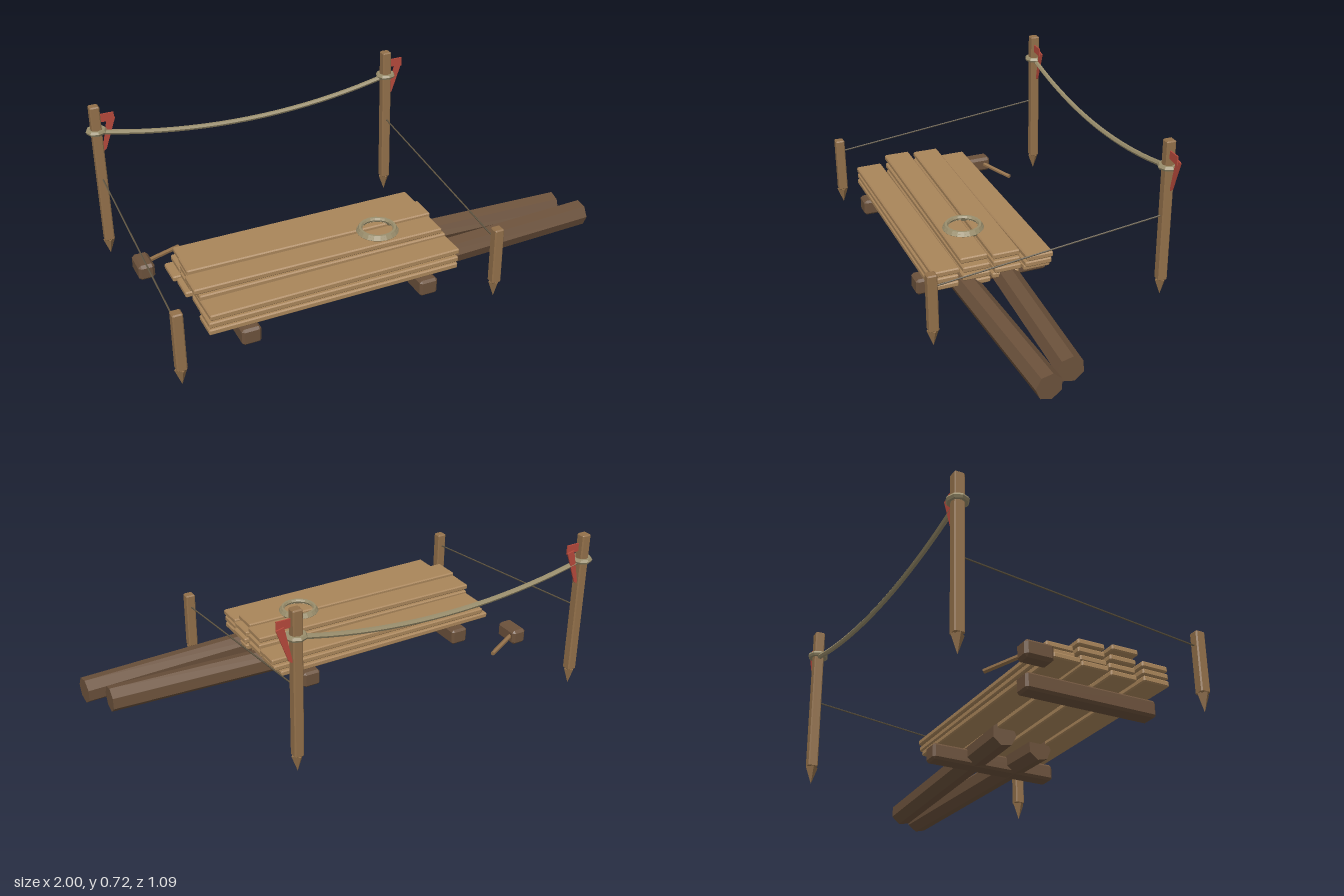
import * as THREE from 'three';
import { ConvexGeometry } from 'three/addons/geometries/ConvexGeometry.js';

const mat = (color, extra = {}) => {
  const m = new THREE.MeshStandardMaterial({ color, flatShading: true, ...extra });
  return m;
};

const plankMat = mat(0xa9855a);
const postMat = mat(0x92704a);
const logMat = mat(0x6b513b);
const ropeMat = mat(0x9a8e6c);
const cordMat = mat(0x5f5542);
const flagMat = mat(0xb5493b, { side: THREE.DoubleSide });

// Box with chamfered edges: three points near each corner
function chamferBox(w, h, d, c) {
  const pts = [];
  for (const x of [-1, 1]) for (const y of [-1, 1]) for (const z of [-1, 1]) {
    const X = x * w / 2, Y = y * h / 2, Z = z * d / 2;
    pts.push(
      new THREE.Vector3(X, Y - y * c, Z - z * c),
      new THREE.Vector3(X - x * c, Y, Z - z * c),
      new THREE.Vector3(X - x * c, Y - y * c, Z));
  }
  return new ConvexGeometry(pts);
}

function add(parent, name, geometry, material, x = 0, y = 0, z = 0) {
  const mesh = new THREE.Mesh(geometry, material);
  mesh.name = name;
  mesh.position.set(x, y, z);
  parent.add(mesh);
  return mesh;
}

// Straight round bar between two points
function bar(parent, name, a, b, radius, sides, material) {
  const dir = b.clone().sub(a);
  const mesh = add(parent, name, new THREE.CylinderGeometry(radius, radius, dir.length(), sides), material);
  mesh.position.copy(a).add(b).multiplyScalar(0.5);
  mesh.quaternion.setFromUnitVectors(new THREE.Vector3(0, 1, 0), dir.normalize());
  return mesh;
}

function ring(parent, name, radius, tube, sides, x, y, z) {
  const geometry = new THREE.TorusGeometry(radius, tube, 6, sides).rotateX(Math.PI / 2);
  return add(parent, name, geometry, ropeMat, x, y, z);
}

// Square stake with a pointed, four-sided foot
function stake(parent, name, x, z, top) {
  const group = new THREE.Group();
  group.name = name;
  group.position.set(x, 0, z);
  add(group, 'stakeShaft', chamferBox(0.042, top - 0.078, 0.042, 0.005), postMat, 0, (top + 0.078) / 2);
  add(group, 'stakePoint', new THREE.ConeGeometry(0.027, 0.075, 4).rotateX(Math.PI), postMat, 0, 0.042);
  parent.add(group);
  return group;
}

function flagPiece(parent, name, corners, z) {
  const shape = new THREE.Shape(corners.map(([x, y]) => new THREE.Vector2(x, y)));
  const geometry = new THREE.ExtrudeGeometry(shape, { depth: 0.006, bevelEnabled: false });
  return add(parent, name, geometry, flagMat, 0, 0, z);
}

export function createModel() {
  const model = new THREE.Group();
  model.name = 'buildingSite';
  const leftX = 0.408, rightX = -0.955, backZ = -0.501, frontZ = 0.519;

  // Stakes, rope loops, marker ribbons and guide cords
  for (const x of [rightX, leftX]) {
    const tall = stake(model, 'tallStake', x, backZ, 0.725);
    ring(tall, 'ropeLoop', 0.034, 0.0115, 8, 0, 0.61, 0);
    flagPiece(tall, 'ribbonTop', [[0.015, 0.65], [0.08, 0.645], [0.08, 0.685], [0.015, 0.685]], 0.002);
    flagPiece(tall, 'ribbonTail', [[0.017, 0.5], [0.036, 0.515], [0.087, 0.655], [0.053, 0.662]], -0.01);
    stake(model, 'shortStake', x, frontZ, 0.335);
    bar(model, 'guideCord', new THREE.Vector3(x, 0.276, frontZ - 0.015),
      new THREE.Vector3(x, 0.386, backZ + 0.015), 0.0035, 5, cordMat);
  }

  // Sagging rope between the tall stakes
  const rope = [];
  for (let i = 0; i <= 8; i++) {
    const t = i / 8;
    rope.push(new THREE.Vector3(
      THREE.MathUtils.lerp(rightX, leftX, t), 0.605 - 0.32 * t * (1 - t), backZ));
  }
  add(model, 'saggingRope',
    new THREE.TubeGeometry(new THREE.CatmullRomCurve3(rope), 20, 0.011, 6), ropeMat);

  // Bearers under the planks
  for (const x of [-0.66, 0.11]) {
    add(model, 'bearer', chamferBox(0.08, 0.072, 0.585, 0.01), logMat, x, 0.117, 0.207);
  }

  // Logs
  const logs = [
    [new THREE.Vector3(-0.18, 0.135, 0.115), new THREE.Vector3(0.93, 0.135, 0.164)],
    [new THREE.Vector3(-0.11, 0.135, 0.326), new THREE.Vector3(0.998, 0.135, 0.28)],
  ];
  for (const [a, b] of logs) bar(model, 'log', a, b, 0.056, 7, logMat);

  // Stacked planks: three full layers and two planks on top
  let seed = 7;
  const jitter = () => {
    seed = (seed * 16807) % 2147483647;
    return seed / 2147483647 - 0.5;
  };
  const rowZ = [0.005, 0.142, 0.278, 0.413];
  const shown = [[-0.253, 0.003], [-0.27, -0.012], [-0.288, -0.007], [-0.275, 0.009]];
  const plank = chamferBox(1.08, 0.025, 0.118, 0.005);
  [0.167, 0.198, 0.232, 0.264].forEach((y, layer) => {
    rowZ.forEach((z, row) => {
      const middle = row === 1 || row === 2;
      if (layer === 3 && !middle) return;
      const exposed = layer === 3 || (layer === 2 && !middle);
      const [x, yaw] = exposed ? shown[row] : [-0.275 + 0.04 * jitter(), 0.02 * jitter()];
      add(model, 'plank', plank, plankMat, x, y, z).rotation.y = yaw;
    });
  });

  // Rope coil lying on the planks
  ring(model, 'ropeCoil', 0.078, 0.011, 20, 0.002, 0.278, 0.238);
  ring(model, 'ropeCoil', 0.073, 0.01, 20, 0.002, 0.287, 0.238);

  // Mallet
  const mallet = new THREE.Group();
  mallet.name = 'mallet';
  add(mallet, 'malletHead', chamferBox(0.07, 0.07, 0.12, 0.012), logMat, -0.895, 0.115, -0.163);
  bar(mallet, 'malletHandle', new THREE.Vector3(-0.895, 0.12, -0.178),
    new THREE.Vector3(-0.71, 0.103, -0.267), 0.01, 6, postMat);
  model.add(mallet);

  return model;
}
